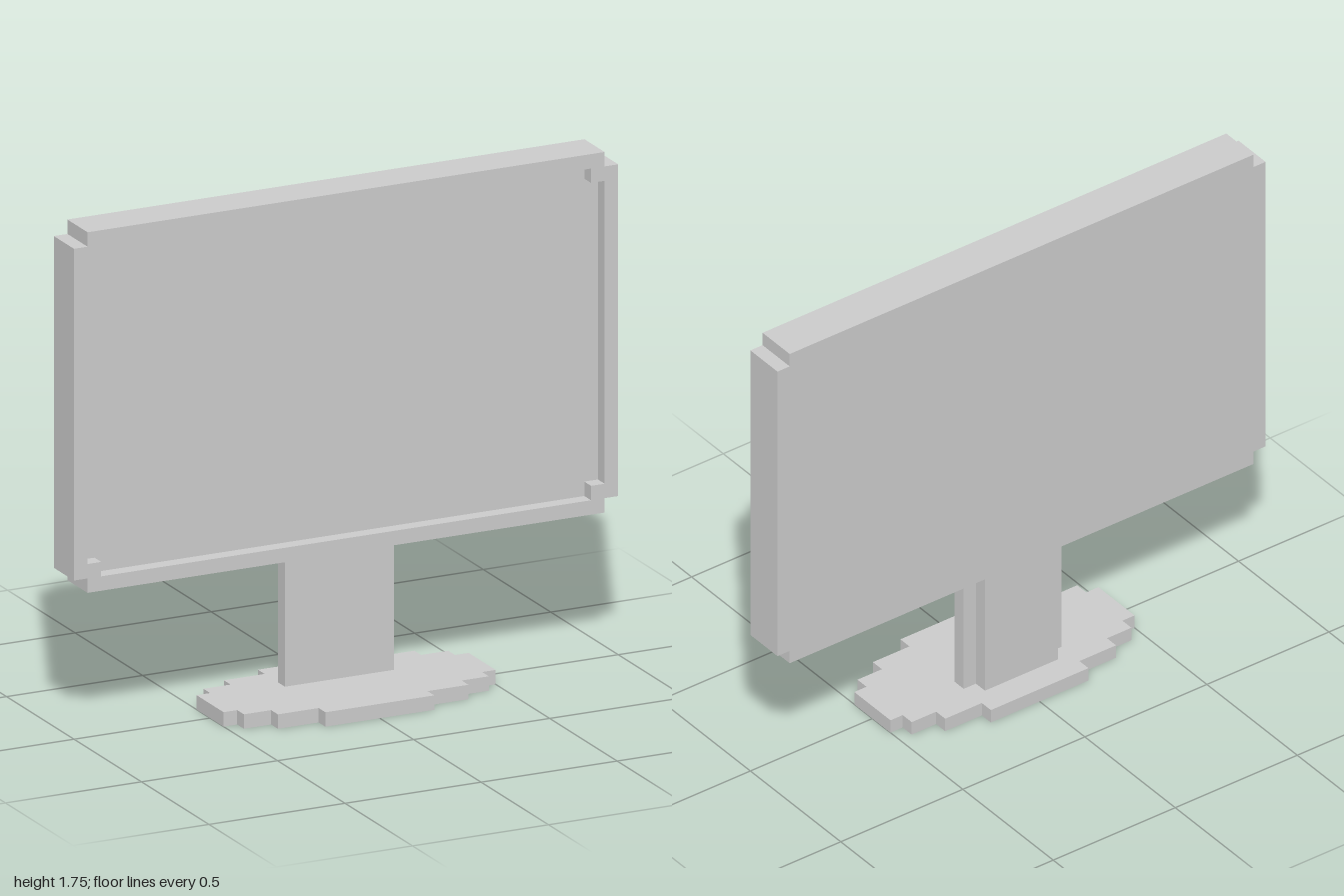
import * as THREE from 'three';

const material = new THREE.MeshStandardMaterial({ color: 0xcccccc, flatShading: true });

// Mirrors one quadrant of a stepped outline, listed from the +x axis to the +y axis, into a closed loop.
function steppedOutline(quadrant, cy = 0) {
  const back = [...quadrant].reverse();
  return [
    ...quadrant.map(([x, y]) => [x, y]),
    ...back.map(([x, y]) => [-x, y]),
    ...quadrant.map(([x, y]) => [-x, -y]),
    ...back.map(([x, y]) => [x, -y]),
  ].map(([x, y]) => new THREE.Vector2(x, y + cy));
}

// Rectangle with a small square notch in every corner.
function notchedRectangle(halfW, halfH, notch, cy) {
  return steppedOutline([
    [halfW, halfH - notch], [halfW - notch, halfH - notch], [halfW - notch, halfH],
  ], cy);
}

function addExtrusion(group, name, outline, depth, z, hole) {
  const shape = new THREE.Shape(outline);
  if (hole) shape.holes.push(new THREE.Path(hole));
  const geometry = new THREE.ExtrudeGeometry(shape, { depth, bevelEnabled: false });
  geometry.translate(0, 0, z);
  const mesh = new THREE.Mesh(geometry, material);
  mesh.name = name;
  group.add(mesh);
  return mesh;
}

function addBox(group, name, [w, h, d], [x, y, z]) {
  const mesh = new THREE.Mesh(new THREE.BoxGeometry(w, h, d), material);
  mesh.name = name;
  mesh.position.set(x, y, z);
  group.add(mesh);
}

export function createModel() {
  const model = new THREE.Group();
  model.name = 'monitor';

  // Display: solid rear panel with a raised frame around the recessed screen
  const display = new THREE.Group();
  display.name = 'display';
  const midY = 1.125;
  const outer = notchedRectangle(1, 0.625, 0.05, midY);
  const opening = notchedRectangle(0.95, 0.575, 0.05, midY);
  addExtrusion(display, 'screenPanel', outer, 0.1, -0.15);
  addExtrusion(display, 'screenFrame', outer, 0.05, -0.05, opening);
  model.add(display);

  // Stand: wide front plate backed by a narrower rib
  const stand = new THREE.Group();
  stand.name = 'stand';
  addBox(stand, 'standFrontPlate', [0.4, 0.45, 0.05], [0, 0.275, -0.075]);
  addBox(stand, 'standRearRib', [0.3, 0.45, 0.05], [0, 0.275, -0.125]);
  model.add(stand);

  // Base: thin stepped oval lying on the ground
  const baseOutline = steppedOutline([
    [0.5, 0.1], [0.45, 0.1], [0.45, 0.15], [0.35, 0.15],
    [0.35, 0.2], [0.2, 0.2], [0.2, 0.25],
  ]);
  const base = addExtrusion(model, 'base', baseOutline, 0.05, 0);
  base.rotation.x = -Math.PI / 2;

  return model;
}
